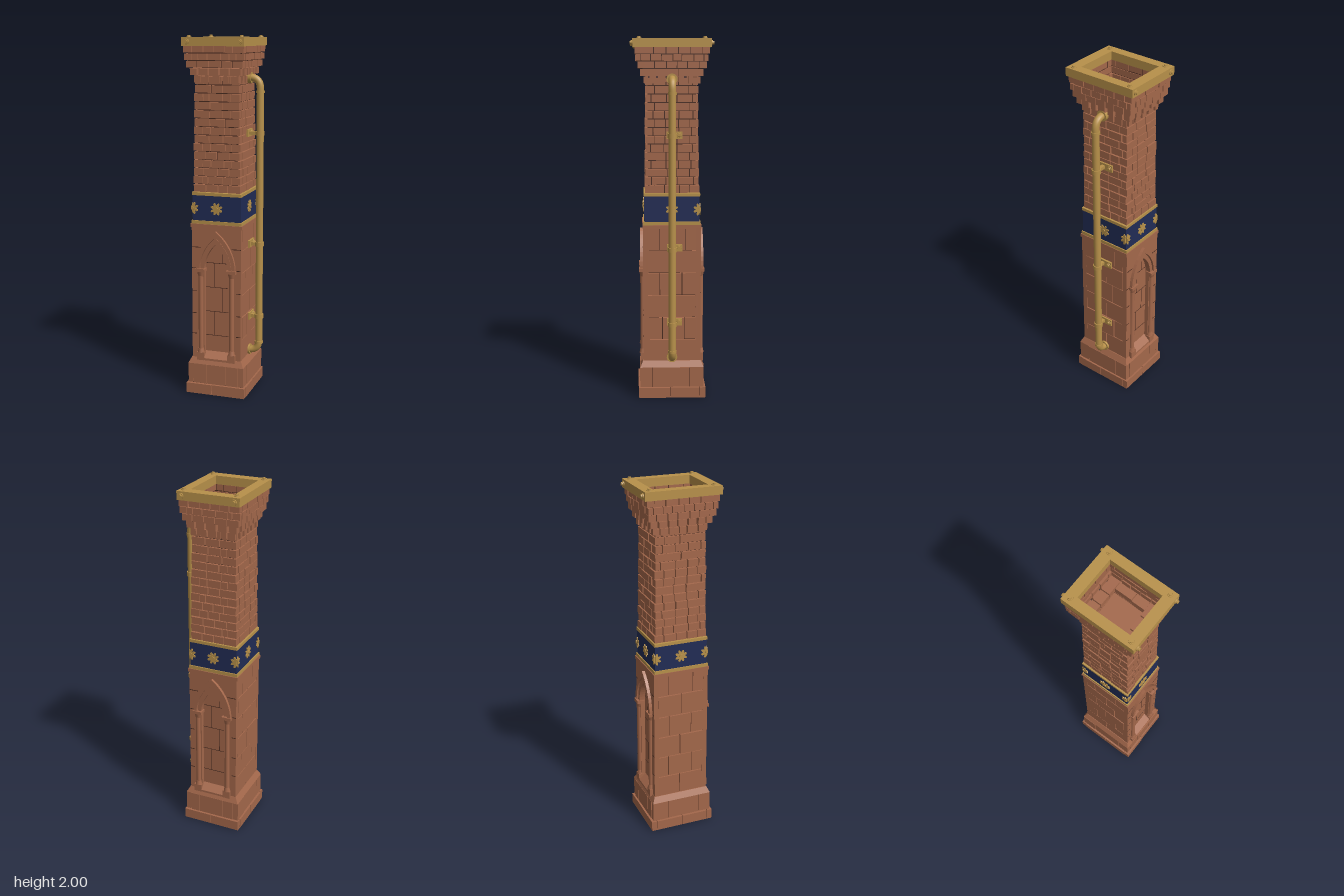
import * as THREE from 'three';
import { mergeGeometries } from 'three/addons/utils/BufferGeometryUtils.js';

const mat = (name, color) => Object.assign(new THREE.MeshStandardMaterial({ color }), { name });

export function createModel() {
  const brick = mat('brick', 0xa4684b), mortar = mat('mortar', 0x4a2c20);
  const brass = mat('brass', 0xb8914a), navy = mat('navy', 0x212c55);
  const model = new THREE.Group();
  const column = new THREE.Group();
  column.name = 'column';
  column.position.x = -0.0275;
  model.add(column);

  let seed = 7;
  const rnd = () => (seed = (seed * 16807) % 2147483647) / 2147483647;
  const add = (parent, name, geo, material) => {
    const m = new THREE.Mesh(geo, material);
    m.name = name;
    parent.add(m);
    return m;
  };
  const box = (w, h, d, x, y, z) => new THREE.BoxGeometry(w, h, d).translate(x, y, z);
  // Box centred on the column, given its bottom, top and half sizes
  const slab = (name, y0, y1, hx, hz, m) =>
    add(column, name, box(hx * 2, y1 - y0, hz * 2, 0, (y0 + y1) / 2, 0), m);

  // A straight run of bricks along x, its outer face at z = face
  function run(L, y0, h, face, t, len, gap, odd) {
    const n = Math.max(1, Math.round(L / len)), step = L / n, cuts = [-L / 2];
    for (let i = odd ? 0.5 : 1; i < n; i++) cuts.push(-L / 2 + step * (i + (rnd() - 0.5) * 0.25));
    cuts.push(L / 2);
    return cuts.slice(1).map((b, i) => {
      const a = cuts[i], out = face + (rnd() - 0.5) * 0.005;
      return box(b - a - gap, h - 0.005, t, (a + b) / 2, y0 + h / 2, out - t / 2);
    });
  }
  // One course round all four sides; alternate courses swap the corner bricks
  function course(y0, h, hx, hz, t, len, odd, gap = 0.005) {
    const out = [];
    for (let s = 0; s < 4; s++) {
      const side = s % 2, own = side === (odd ? 1 : 0);
      const L = 2 * ((side ? hz : hx) - (own ? 0 : t));
      run(L, y0, h, side ? hx : hz, t, len, gap, odd).forEach(g => out.push(g.rotateY(s * Math.PI / 2)));
    }
    return out;
  }
  const bricks = (name, list) => add(column, name, mergeGeometries(list), brick);

  // Plinth
  slab('plinthUnderside', 0, 0.006, 0.17, 0.185, brick);
  slab('plinthCore', 0.006, 0.175, 0.156, 0.171, mortar);
  bricks('plinthStones', [...course(0, 0.062, 0.172, 0.187, 0.03, 0.2, false, 0.003),
    ...course(0.06, 0.118, 0.163, 0.178, 0.03, 0.17, true, 0.003)]);
  const slope = box(0.326, 0.035, 0.356, 0, 0.1925, 0), sp = slope.attributes.position;
  for (let i = 0; i < sp.count; i++)
    if (sp.getY(i) > 0.19) sp.setXYZ(i, sp.getX(i) * 0.89, sp.getY(i), sp.getZ(i) * 0.91);
  slope.computeVertexNormals();
  add(column, 'plinthSlope', slope, brick);

  // Lower shaft: stone side walls round a core
  slab('lowerCore', 0.2, 0.965, 0.128, 0.13, mortar);
  const sideStones = [];
  for (let i = 0; i < 6; i++) for (const s of [1, -1])
    run(0.27, 0.205 + i * 0.127, 0.127, 0.1425, 0.03, 0.115, 0.004, i % 2 === 1)
      .forEach(g => sideStones.push(g.rotateY(s * Math.PI / 2)));
  bricks('sideStones', sideStones);

  // Pointed arch outline, running from the right springing over to the left
  const spring = 0.72;
  function arc(w, H) {
    const R = (w * w + H * H) / (2 * w), end = Math.atan2(H, R - w), right = [];
    for (let i = 0; i <= 10; i++) {
      const a = end * i / 10;
      right.push(new THREE.Vector2(Math.max(0, w - R + R * Math.cos(a)), spring + R * Math.sin(a)));
    }
    return [...right, ...right.slice(0, -1).reverse().map(p => new THREE.Vector2(-p.x, p.y))];
  }
  const extrude = (shape, z0, z1) =>
    new THREE.ExtrudeGeometry(shape, { depth: z1 - z0, bevelEnabled: false }).translate(0, 0, z0);
  const archRing = (w1, h1, w2, h2, z1) =>
    extrude(new THREE.Shape([...arc(w1, h1), ...arc(w2, h2).reverse()]), 0.14, z1);

  // Arched niches on front and back
  for (const s of [0, 1]) {
    const niche = new THREE.Group();
    niche.name = s ? 'backNiche' : 'frontNiche';
    niche.rotation.y = s * Math.PI;
    column.add(niche);
    const wall = new THREE.Shape([[-0.1425, 0.2], [0.1425, 0.2], [0.1425, 0.968], [-0.1425, 0.968]]
      .map(p => new THREE.Vector2(...p)));
    wall.holes.push(new THREE.Path([new THREE.Vector2(-0.07, 0.21), new THREE.Vector2(0.07, 0.21), ...arc(0.07, 0.155)]));
    add(niche, 'nicheWall', extrude(wall, 0.133, 0.16), brick);
    add(niche, 'nicheBack', box(0.2, 0.72, 0.012, 0, 0.57, 0.13), brick);
    add(niche, 'outerArch', archRing(0.114, 0.226, 0.094, 0.192, 0.177), brick);
    add(niche, 'innerArch', archRing(0.09, 0.186, 0.069, 0.153, 0.169), brick);
    const sill = new THREE.Shape([[0, 0.2], [0.045, 0.2], [0.045, 0.212], [0, 0.25]].map(p => new THREE.Vector2(...p)));
    add(niche, 'sill', extrude(sill, -0.07, 0.07).rotateY(-Math.PI / 2).translate(0, 0, 0.131), brick);
    for (const x of [-0.09, 0.09]) {
      add(niche, 'jambColumn', new THREE.CylinderGeometry(0.014, 0.014, 0.47, 12).translate(x, 0.47, 0.162), brick);
      add(niche, 'columnBase', box(0.044, 0.045, 0.036, x, 0.222, 0.16), brick);
      add(niche, 'columnFoot', new THREE.CylinderGeometry(0.015, 0.02, 0.025, 12).translate(x, 0.255, 0.162), brick);
      add(niche, 'capital', new THREE.CylinderGeometry(0.022, 0.014, 0.03, 12).translate(x, 0.7, 0.161), brick);
      add(niche, 'abacus', box(0.056, 0.018, 0.042, x, 0.723, 0.162), brick);
    }
    // Stone joints as thin strips
    const joints = [];
    for (const y of [0.35, 0.47, 0.6, 0.73, 0.85]) for (const x of [-1, 1]) {
      const inner = y > 0.8 ? 0.09 : 0.116;
      joints.push(box(0.142 - inner, 0.004, 0.002, x * (0.142 + inner) / 2, y, 0.16));
    }
    [0.34, 0.48, 0.62, 0.76].forEach((y, i) => joints.push(box(0.14, 0.003, 0.002, 0, y, 0.136),
      box(0.003, 0.14, 0.002, i % 2 ? 0.03 : -0.02, y + 0.07, 0.136)));
    add(niche, 'stoneJoints', mergeGeometries(joints), mortar);
  }

  // Band with mouldings
  slab('lowerMoulding', 0.962, 0.982, 0.149, 0.163, brick);
  slab('lowerBandTrim', 0.978, 1.0, 0.145, 0.158, brass);
  slab('blueBand', 0.998, 1.142, 0.139, 0.152, navy);
  slab('upperBandTrim', 1.14, 1.157, 0.142, 0.155, brass);

  // Flower ornaments; half flowers fold round the corners
  function flower(from, to) {
    const pts = [], n = Math.round((to - from) / (Math.PI / 16));
    for (let i = 0; i <= n; i++) {
      const a = from + (to - from) * i / n, r = [0.019, 0.031, 0.036, 0.031][i % 4];
      pts.push(new THREE.Vector2(Math.cos(a) * r, Math.sin(a) * r));
    }
    return mergeGeometries([extrude(new THREE.Shape(pts), 0, 0.005),
      new THREE.ExtrudeGeometry(new THREE.Shape().absarc(0, 0, 0.011, from, to), { depth: 0.009, bevelEnabled: false, curveSegments: 8 })]);
  }
  const q = Math.PI / 2;
  for (let s = 0; s < 4; s++) {
    const hw = s % 2 ? 0.152 : 0.139, face = s % 2 ? 0.139 : 0.152;
    const put = (geo, x) => add(column, 'bandFlower', geo.translate(x, 1.068, face).rotateY(s * q), brass);
    put(flower(0, 4 * q), 0);
    if (s !== 0) put(flower(q, 3 * q), hw);
    if (s !== 1) put(flower(-q, q), -hw);
  }

  // Upper brick shaft, tapering slightly
  slab('upperCore', 1.155, 1.76, 0.114, 0.131, mortar);
  const shaft = [], rows = 15, rowH = (1.83 - 1.157) / rows;
  for (let i = 0; i < rows; i++) {
    const k = i / (rows - 1);
    shaft.push(...course(1.157 + i * rowH, rowH, 0.135 - 0.009 * k, 0.148 - 0.006 * k, 0.05, 0.075, i % 2 === 1));
  }
  bricks('upperBricks', shaft);
  slab('flueFloor', 1.76, 1.775, 0.1, 0.12, brick);

  // Corbelled head
  const head = [
    ...course(1.75, 0.04, 0.138, 0.152, 0.022, 0.055, false, 0.026),
    ...course(1.79, 0.04, 0.15, 0.17, 0.034, 0.055, false, 0.016)];
  [[1.83, 0.16, 0.186], [1.869, 0.166, 0.195], [1.908, 0.17, 0.2]].forEach(([y, hx, hz], i) =>
    head.push(...course(y, 0.039, hx, hz, 0.04, 0.06, i % 2 === 1)));
  bricks('headBricks', head);
  const ring = (ox, oz, ix, iz, y0, y1) => {
    const rect = (C, x, z) => new C([[-x, -z], [x, -z], [x, z], [-x, z]].map(p => new THREE.Vector2(...p)));
    const s = rect(THREE.Shape, ox, oz);
    s.holes.push(rect(THREE.Path, ix, iz));
    return extrude(s, y0, y1).rotateX(-q);
  };
  add(column, 'headCore', ring(0.15, 0.176, 0.128, 0.157, 1.831, 1.945), mortar);
  const lining = [];
  for (let i = 0; i < 3; i++) lining.push(...course(1.83 + i * 0.039, 0.039, 0.135, 0.164, 0.011, 0.08, i % 2 === 0));
  bricks('flueLining', lining);

  // Brass cap frame with bolts
  add(column, 'capFrame', ring(0.174, 0.211, 0.122, 0.152, 1.944, 1.99), brass);
  const bolt = () => mergeGeometries([
    new THREE.CylinderGeometry(0.014, 0.015, 0.005, 12).translate(0, 0.0025, 0),
    new THREE.CylinderGeometry(0.009, 0.01, 0.008, 6).translate(0, 0.008, 0)]);
  for (const x of [-0.144, 0.149]) for (const z of [-1, 1]) {
    add(column, 'topBolt', bolt().translate(x, 1.989, z * 0.177), brass);
    add(column, 'sideBolt', bolt().scale(1, 1.3, 1).rotateX(z * q).translate(x, 1.967, z * 0.21), brass);
  }

  // Side pipe with elbows, collars and wall brackets
  const pipe = new THREE.Group();
  pipe.name = 'pipe';
  model.add(pipe);
  const V = (x, y) => new THREE.Vector3(x, y, 0), px = 0.173;
  const path = new THREE.CurvePath();
  path.add(new THREE.LineCurve3(V(0.09, 0.232), V(0.118, 0.232)));
  path.add(new THREE.QuadraticBezierCurve3(V(0.118, 0.232), V(px, 0.232), V(px, 0.29)));
  path.add(new THREE.LineCurve3(V(px, 0.29), V(px, 1.715)));
  path.add(new THREE.QuadraticBezierCurve3(V(px, 1.715), V(px, 1.775), V(0.118, 1.775)));
  path.add(new THREE.LineCurve3(V(0.118, 1.775), V(0.08, 1.775)));
  add(pipe, 'pipeTube', new THREE.TubeGeometry(path, 200, 0.02, 16), brass);
  for (const y of [0.28, 1.7])
    add(pipe, 'pipeCollar', new THREE.CylinderGeometry(0.0235, 0.0235, 0.014, 16).translate(px, y, 0), brass);
  for (const y of [0.232, 1.775])
    add(pipe, 'pipeFlange', new THREE.CylinderGeometry(0.03, 0.03, 0.02, 16).rotateZ(q).translate(0.115, y, 0), brass);
  for (const [y, wall] of [[0.435, 0.115], [0.855, 0.115], [1.475, 0.102]]) {
    add(pipe, 'clampRing', new THREE.CylinderGeometry(0.025, 0.025, 0.024, 16).translate(px, y, 0), brass);
    add(pipe, 'clampArm', box(px - wall, 0.018, 0.02, (px + wall) / 2, y, 0), brass);
    add(pipe, 'wallPlate', box(0.012, 0.04, 0.085, wall + 0.005, y, -0.014), brass);
    add(pipe, 'plateBolt', bolt().rotateZ(-q).translate(wall + 0.01, y, -0.04), brass);
  }
  return model;
}
